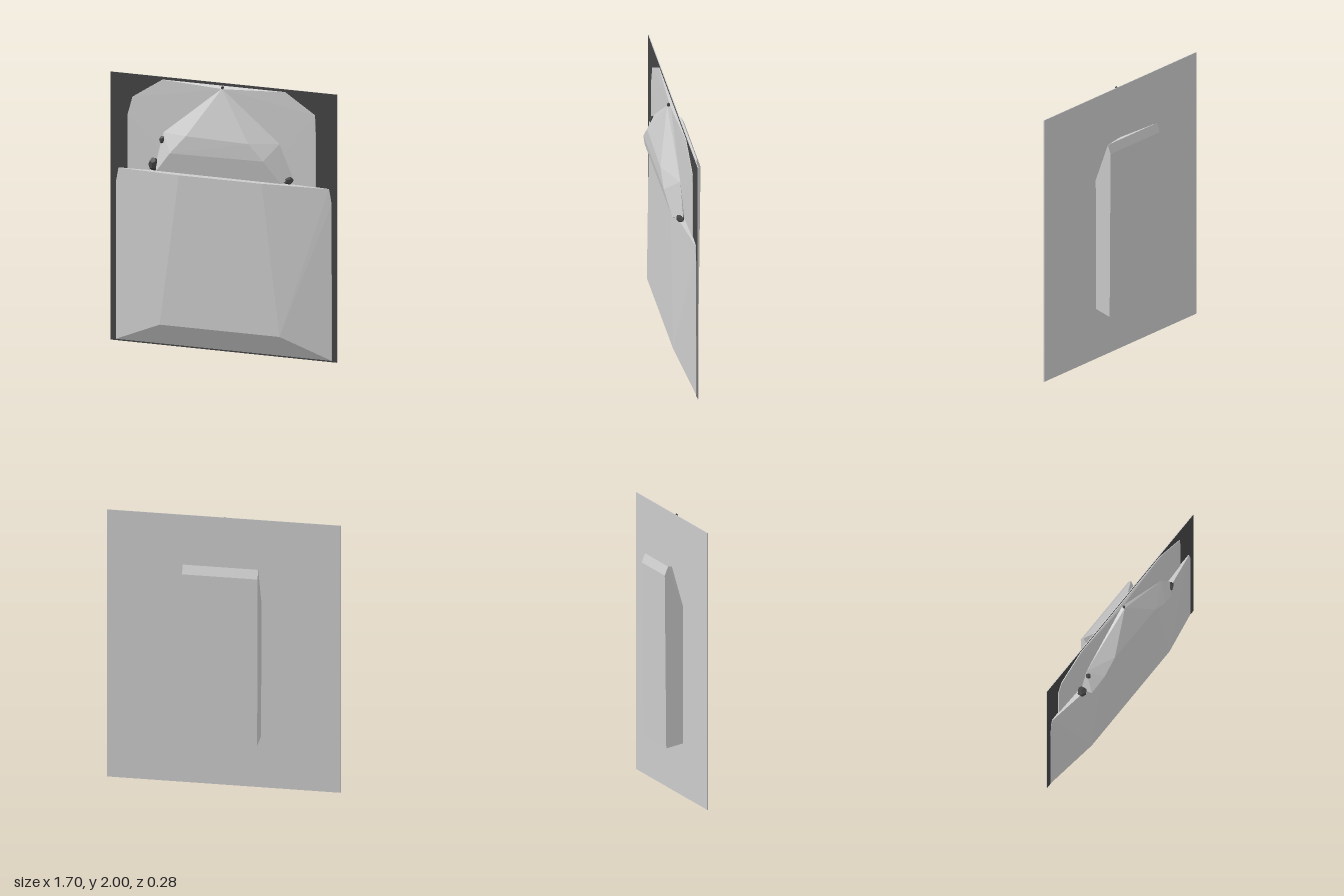
import * as THREE from 'three';
import { ConvexGeometry } from 'three/addons/geometries/ConvexGeometry.js';

const grey = new THREE.MeshStandardMaterial({ color: 0xcccccc, flatShading: true });
const dark = new THREE.MeshStandardMaterial({ color: 0x444444, flatShading: true });

// Faceted solid from its corner points
function hull(name, corners) {
  const geometry = new ConvexGeometry(corners.map((c) => new THREE.Vector3(...c)));
  const mesh = new THREE.Mesh(geometry, grey);
  mesh.name = name;
  return mesh;
}

// Mirror corners across x
const both = (corners) => corners.flatMap(([x, y, z]) => [[x, y, z], [-x, y, z]]);

export function createModel() {
  const model = new THREE.Group();
  model.name = 'panelWithPouch';

  // Thin backing panel, dark on its front
  const panel = new THREE.Mesh(new THREE.BoxGeometry(1.7, 2, 0.006),
    [grey, grey, grey, grey, dark, grey]);
  panel.name = 'backPanel';
  panel.position.set(0, 1, 0);
  model.add(panel);

  // Chamfered plate behind the flap
  model.add(hull('upperPlate', [
    ...both([[0.46, 1.98, 0.008], [0.685, 1.83, 0.008], [0.46, 1.98, 0], [0.685, 1.83, 0]]),
    [0.69, 1.7, 0.008], [0.69, 1.28, 0.008], [-0.72, 1.7, 0.008], [-0.72, 1.28, 0.008],
    [0.69, 1.7, 0], [0.69, 1.28, 0], [-0.72, 1.7, 0], [-0.72, 1.28, 0],
    [0, 1.96, 0.022], [0.3, 1.3, 0.025], [-0.3, 1.3, 0.025],
  ]));

  // Large lower pouch with sloping borders
  model.add(hull('lowerPouch', both([
    [0.81, 0.01, 0.004], [0.81, 1.18, 0.006], [0.79, 1.29, 0.008],
    [0.45, 0.18, 0.097], [0.31, 1.305, 0.085], [0.31, 1.31, 0],
    [0.81, 0.01, 0], [0.79, 1.29, 0],
  ])));

  // Peaked flap above the pouch
  model.add(hull('peakedFlap', [
    [0, 1.97, 0.045], [0, 1.97, 0.02],
    [-0.44, 1.6, 0.04], [0.43, 1.6, 0.04], [-0.5, 1.36, 0.04], [0.53, 1.36, 0.04],
    [-0.24, 1.62, 0.14], [0.23, 1.61, 0.143],
    [-0.36, 1.48, 0.141], [0.34, 1.49, 0.141],
    [-0.47, 1.33, 0.11], [0.46, 1.325, 0.105],
    [-0.46, 1.31, 0.02], [0.47, 1.31, 0.02],
  ]));

  // Crumpled dark knots at the flap corners, side and peak
  const knots = [
    ['leftKnot', 0.5, 1.34, 0.055, 0.042, 0.03, 0.03],
    ['rightKnot', -0.51, 1.36, 0.055, 0.038, 0.05, 0.035],
    ['sideKnot', -0.445, 1.55, 0.06, 0.02, 0.03, 0.02],
    ['peakKnot', 0, 1.975, 0.035, 0.01, 0.018, 0.012],
  ];
  for (const [name, x, y, z, sx, sy, sz] of knots) {
    const knot = new THREE.Mesh(new THREE.DodecahedronGeometry(1), dark);
    knot.name = name;
    knot.position.set(x, y, z);
    knot.scale.set(sx, sy, sz);
    model.add(knot);
  }

  // Tall block on the back, its top sloping in to the panel
  model.add(hull('rearBlock', [
    ...both([[0.275, 1.665, -0.115], [0.275, 1.6, -0.14], [0.27, 0.35, -0.127],
      [0.27, 0.38, 0], [0.275, 1.36, 0]]),
    [0, 1.61, 0],
  ]));

  return model;
}
